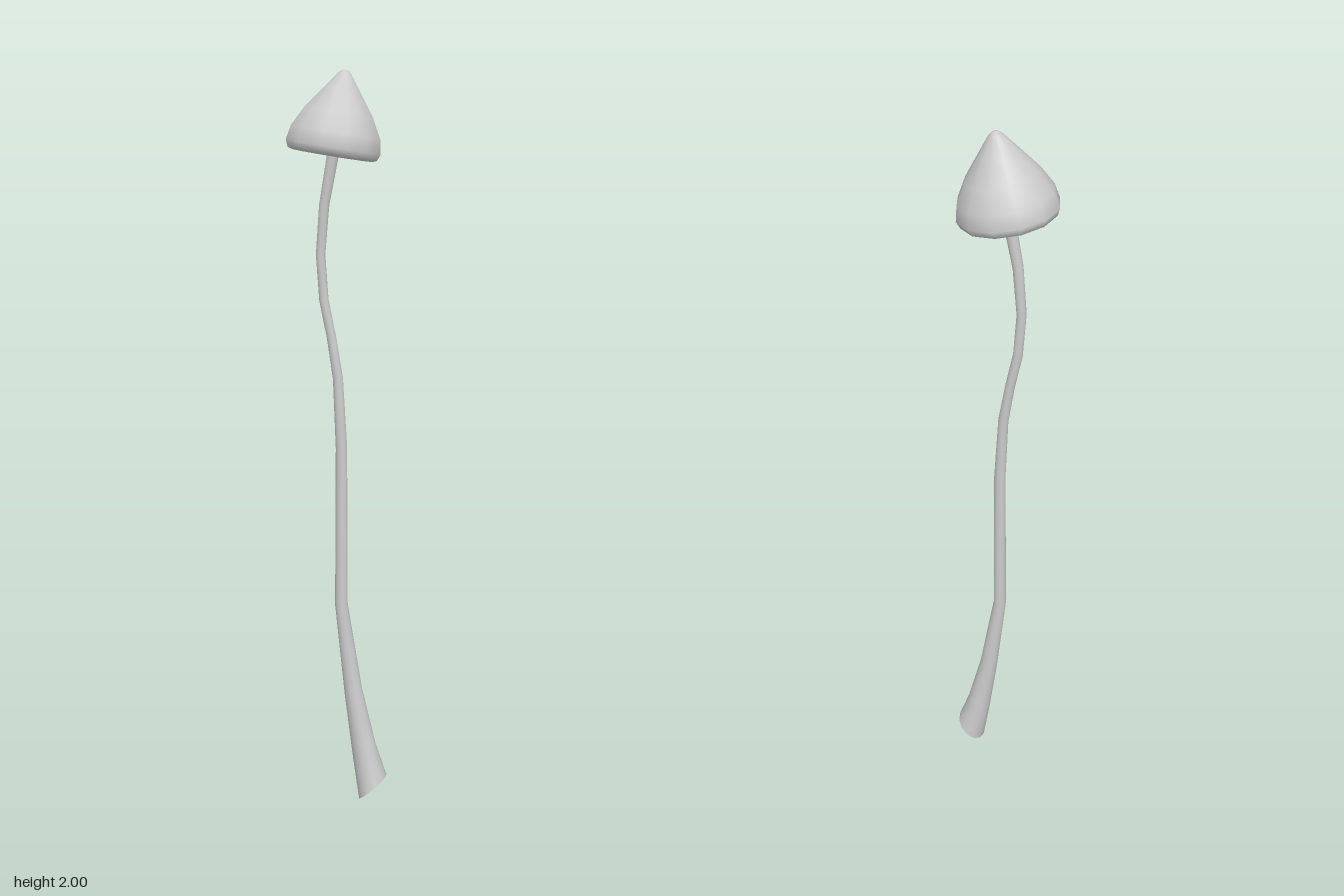
import * as THREE from 'three';
import { mergeVertices } from 'three/addons/utils/BufferGeometryUtils.js';

const SIDES = 12;
const material = new THREE.MeshStandardMaterial({ color: 0xcccccc, side: THREE.DoubleSide });

// Stem rings from top to bottom: centre x, centre y, radius, tilt about z
const STEM_RINGS = [
  [0.0, 1.86, 0.017, -0.17],
  [-0.018, 1.77, 0.016, -0.17],
  [-0.04, 1.65, 0.014, -0.13],
  [-0.05, 1.52, 0.013, 0.0],
  [-0.041, 1.4, 0.013, 0.17],
  [-0.02, 1.3, 0.013, 0.2],
  [-0.002, 1.19, 0.014, 0.12],
  [0.008, 1.0, 0.016, 0.02],
  [0.008, 0.56, 0.018, 0.08],
  [0.043, 0.31, 0.026, 0.3],
  [0.075, 0.14, 0.037, 0.5],
  [0.1, 0.035, 0.051, 0.73],
];

// Open bent tube whose rows follow the rings
function createStem() {
  let geometry = new THREE.CylinderGeometry(1, 1, 1, SIDES, STEM_RINGS.length - 1, true);
  const position = geometry.attributes.position;
  for (let i = 0; i < position.count; i++) {
    const [cx, cy, radius, tilt] = STEM_RINGS[Math.floor(i / (SIDES + 1))];
    const x = position.getX(i) * radius;
    const z = position.getZ(i) * radius;
    position.setXYZ(i, cx + x * Math.cos(tilt), cy + x * Math.sin(tilt), z);
  }
  geometry.deleteAttribute('normal');
  geometry.deleteAttribute('uv');
  geometry = mergeVertices(geometry, 1e-5);
  geometry.computeVertexNormals();
  const stem = new THREE.Mesh(geometry, material);
  stem.name = 'stem';
  return stem;
}

// Conical cap with a rounded lip and a hollow underside
function createCap() {
  const profile = [
    [0, 0.03], [0.05, 0.022], [0.088, 0.0], [0.1, -0.022], // underside
    [0.11, -0.03], [0.122, -0.026], [0.13, -0.008], // lip
    [0.122, 0.031], [0.093, 0.083], [0.05, 0.14], [0.017, 0.183], [0.008, 0.19], [0, 0.192], // crown
  ].map(([r, y]) => new THREE.Vector2(r, y));
  const cap = new THREE.Mesh(new THREE.LatheGeometry(profile, SIDES), material);
  cap.name = 'cap';
  cap.position.set(-0.013, 1.81, 0);
  cap.rotation.z = -0.165;
  return cap;
}

export function createModel() {
  const mushroom = new THREE.Group();
  mushroom.name = 'mushroom';
  mushroom.add(createStem(), createCap());
  return mushroom;
}
